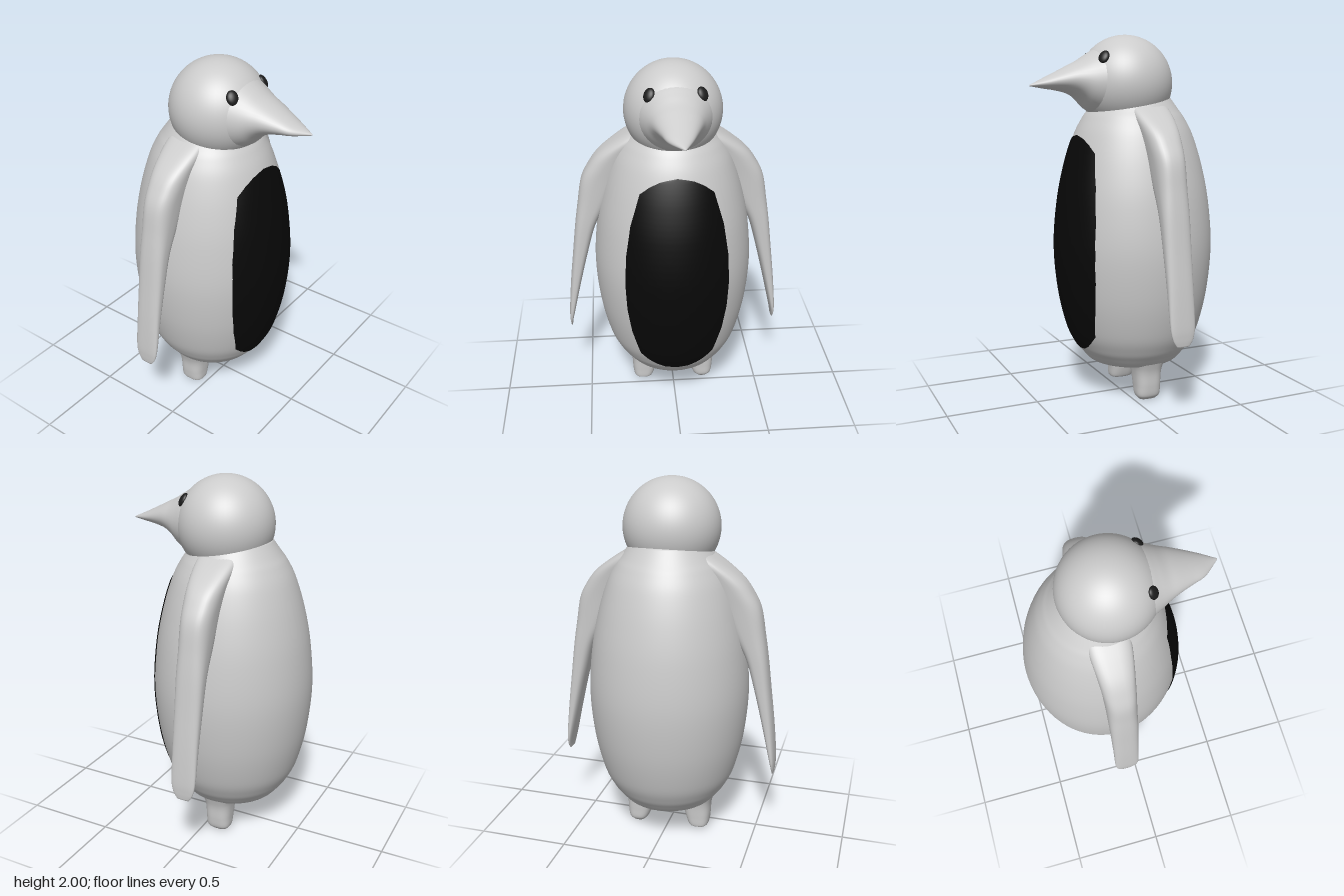
import * as THREE from 'three';

const grey = new THREE.MeshStandardMaterial({ color: 0xcccccc });
const eyeBlack = new THREE.MeshStandardMaterial({ color: 0x1c1c1c });
const bellyBlack = new THREE.MeshStandardMaterial({ color: 0x080808, side: THREE.DoubleSide });
const BODY_Z = -0.08;

// Smooth loft through sections [y, centreX, halfX, centreZ, halfZ], listed from low to high y.
function loft(sections, squareness = 2, steps = 40, sides = 40) {
  const centre = new THREE.CatmullRomCurve3(
    sections.map(([y, cx, , cz]) => new THREE.Vector3(cx, y, cz)), false, 'catmullrom', 0.5);
  const size = new THREE.CatmullRomCurve3(
    sections.map(([, , hx, , hz]) => new THREE.Vector3(hx, hz, 0)), false, 'catmullrom', 0.5);
  const bend = (v) => Math.sign(v) * Math.abs(v) ** (2 / squareness);
  const pos = [], index = [];
  for (let i = 0; i <= steps; i++) {
    const c = centre.getPoint(i / steps), s = size.getPoint(i / steps);
    for (let j = 0; j < sides; j++) {
      const a = (j / sides) * Math.PI * 2;
      pos.push(c.x + bend(Math.cos(a)) * s.x, c.y, c.z + bend(Math.sin(a)) * s.y);
      if (i === steps) continue;
      const p = i * sides + j, q = i * sides + ((j + 1) % sides);
      index.push(p, p + sides, q, q, p + sides, q + sides);
    }
  }
  // End caps
  for (const [row, flip] of [[0, false], [steps, true]]) {
    const c = centre.getPoint(row / steps), mid = pos.length / 3;
    pos.push(c.x, c.y, c.z);
    for (let j = 0; j < sides; j++) {
      const p = row * sides + j, q = row * sides + ((j + 1) % sides);
      index.push(mid, ...(flip ? [q, p] : [p, q]));
    }
  }
  const g = new THREE.BufferGeometry();
  g.setAttribute('position', new THREE.Float32BufferAttribute(pos, 3));
  g.setIndex(index);
  g.computeVertexNormals();
  return g;
}

// Linear lookup of x at height y in points sorted by rising y
function widthAt(points, y) {
  for (let i = 1; i < points.length; i++) {
    const a = points[i - 1], b = points[i];
    if (y <= b.y) return a.x + (b.x - a.x) * Math.max(0, (y - a.y) / (b.y - a.y || 1));
  }
  return points[points.length - 1].x;
}

const toPoints = (list) => list.map(([x, y]) => new THREE.Vector2(x, y));

export function createModel() {
  const model = new THREE.Group();
  const add = (name, geometry, material = grey) => {
    const mesh = new THREE.Mesh(geometry, material);
    mesh.name = name;
    model.add(mesh);
    return mesh;
  };

  // Egg-shaped body
  const flank = new THREE.SplineCurve(toPoints([
    [0.21, 0.187], [0.255, 0.205], [0.295, 0.25], [0.33, 0.3], [0.375, 0.4], [0.42, 0.6], [0.44, 0.85],
    [0.42, 1.1], [0.38, 1.3], [0.33, 1.46], [0.285, 1.55], [0.25, 1.6], [0.2, 1.67],
  ])).getPoints(72);
  const profile = [new THREE.Vector2(0, 0.185), ...flank, new THREE.Vector2(0, 1.7)];
  add('body', new THREE.LatheGeometry(profile, 72)).position.z = BODY_Z;

  // Belly panel: a flat outline wrapped onto the front of the body
  const outline = toPoints([
    [0, 0.28], [0.06, 0.287], [0.12, 0.315], [0.165, 0.35], [0.205, 0.39], [0.25, 0.55], [0.273, 0.7],
    [0.28, 0.85], [0.273, 1.02], [0.245, 1.2], [0.193, 1.375], [0.14, 1.418], [0.08, 1.45], [0, 1.465],
  ]);
  const panel = new THREE.PlaneGeometry(2, 1, 32, 120);
  const pos = panel.attributes.position;
  for (let i = 0; i < pos.count; i++) {
    const y = 0.28 + (pos.getY(i) + 0.5) * 1.185;
    const x = pos.getX(i) * widthAt(outline, y);
    const r = widthAt(flank, y);
    pos.setXYZ(i, x, y, BODY_Z + Math.sqrt(r * r - x * x) + 0.006);
  }
  panel.computeVertexNormals();
  add('bellyPanel', panel, bellyBlack);

  // Round head
  add('head', new THREE.SphereGeometry(0.26, 56, 40)).position.set(0, 1.74, -0.03);

  // Beak: [z, half width, top y, bottom y], lofted upward then turned to point forward
  const beak = [
    [0.06, 0.22, 1.94, 1.56], [0.14, 0.19, 1.925, 1.57], [0.2, 0.162, 1.892, 1.6], [0.25, 0.138, 1.86, 1.65],
    [0.3, 0.118, 1.835, 1.682], [0.37, 0.09, 1.8, 1.7], [0.44, 0.06, 1.766, 1.71], [0.52, 0.003, 1.729, 1.722],
  ].map(([z, w, top, low], i) => [z, i === 7 ? 0.015 : 0, w, -(top + low) / 2, (top - low) / 2]);
  add('beak', loft(beak).rotateX(Math.PI / 2));

  for (const [side, s] of [['left', 1], ['right', -1]]) {
    // Eye pressed into the head
    const eye = add(side + 'Eye', new THREE.SphereGeometry(0.036, 24, 16), eyeBlack);
    eye.position.set(s * 0.133, 1.873, 0.15);
    eye.lookAt(s * 0.266, 2.006, 0.33);
    eye.scale.set(0.85, 1.05, 0.5);

    // Flipper: [y, inner x, outer x, half depth], its shoulder running into the body
    const flipper = [
      [0.41, 0.594, 0.604, 0.035], [0.45, 0.588, 0.607, 0.058], [0.52, 0.572, 0.606, 0.07],
      [0.7, 0.53, 0.59, 0.072], [0.9, 0.48, 0.566, 0.075], [1.07, 0.43, 0.545, 0.078],
      [1.2, 0.36, 0.525, 0.08], [1.34, 0.28, 0.5, 0.085], [1.43, 0.22, 0.455, 0.092],
      [1.5, 0.17, 0.4, 0.1], [1.57, 0.12, 0.31, 0.11], [1.63, 0.08, 0.215, 0.11],
    ].map(([y, a, b, d]) => [y, s * (a + b) / 2, (b - a) / 2, BODY_Z - 0.003, d]);
    add(side + 'Flipper', loft(flipper, 2.8, 60));

    // Stubby leg flaring into the body
    const leg = [
      [s > 0 ? 0 : 0.015, 0.18, 0.035, 0.05], [0.025, 0.18, 0.056, 0.068], [0.08, 0.174, 0.07, 0.072],
      [0.15, 0.168, 0.08, 0.077], [0.2, 0.168, 0.092, 0.088], [0.27, 0.165, 0.12, 0.12],
    ].map(([y, x, w, d]) => [y, s * x, w, BODY_Z - 0.005, d]);
    add(side + 'Leg', loft(leg, 2.8));
  }
  return model;
}
